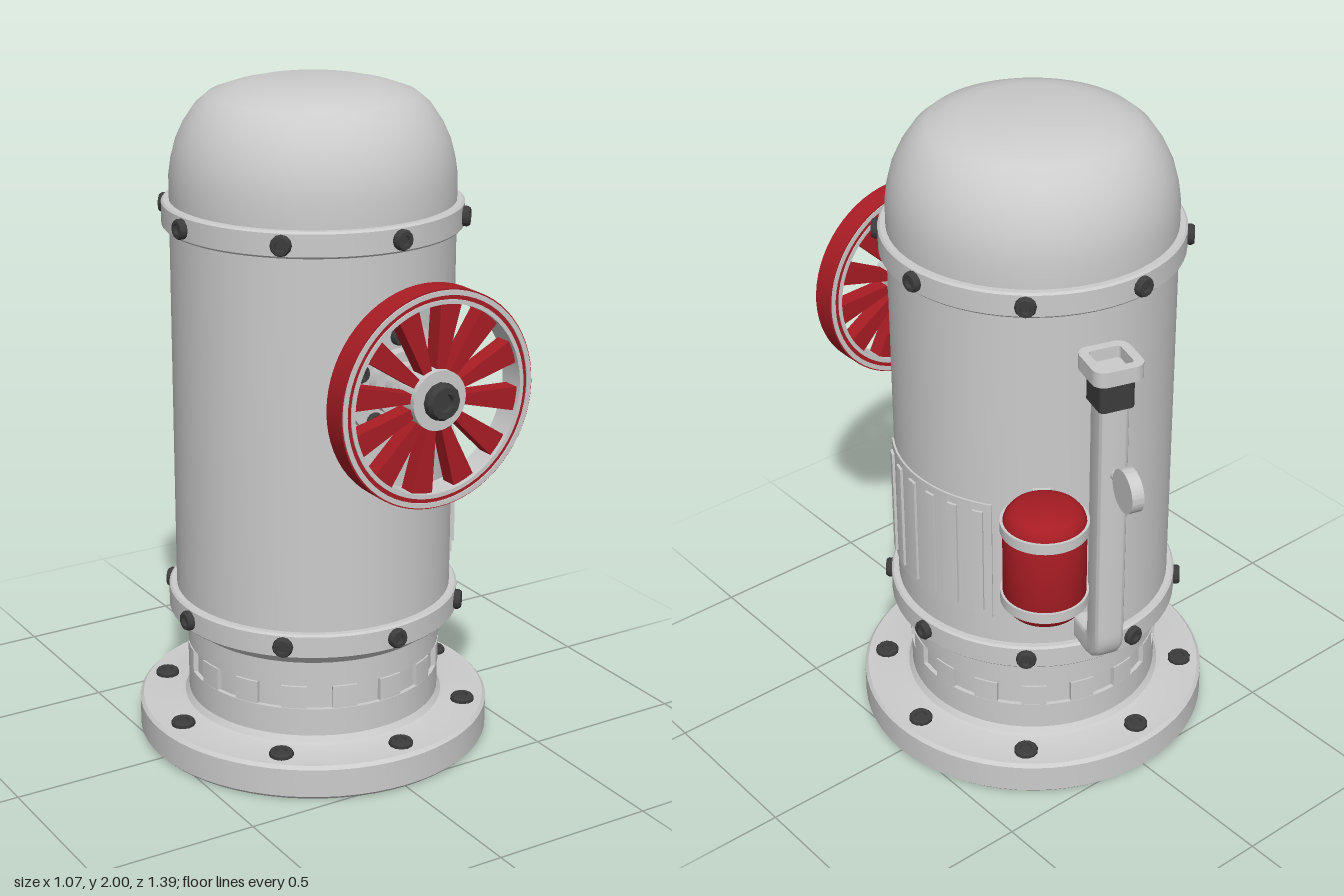
import * as THREE from 'three';
import { toCreasedNormals } from 'three/addons/utils/BufferGeometryUtils.js';

const grey = new THREE.MeshStandardMaterial({ color: 0xcccccc, side: THREE.DoubleSide });
const red = new THREE.MeshStandardMaterial({ color: 0xa81c24, side: THREE.DoubleSide });
const dark = new THREE.MeshStandardMaterial({ color: 0x3c3c3c });

function add(parent, name, geometry, material = grey) {
  const mesh = new THREE.Mesh(geometry, material);
  mesh.name = name;
  parent.add(mesh);
  return mesh;
}

function group(parent, name) {
  const g = new THREE.Group();
  g.name = name;
  parent.add(g);
  return g;
}

// Turned part from [radius, height] pairs, with hard edges kept sharp
function turned(points, segments = 64) {
  const profile = points.map(([r, y]) => new THREE.Vector2(r, y));
  return toCreasedNormals(new THREE.LatheGeometry(profile, segments), 0.6);
}

// Solid ring with a rectangular section
const ring = (r0, r1, y0, y1) => turned([[r0, y0], [r1, y0], [r1, y1], [r0, y1], [r0, y0]]);

// Block bent around the y axis, centred on +x
function arcBlock(r0, r1, angle, y0, y1) {
  const s = new THREE.Shape();
  s.absarc(0, 0, r1, -angle / 2, angle / 2, false);
  s.absarc(0, 0, r0, angle / 2, -angle / 2, true);
  s.closePath();
  const g = new THREE.ExtrudeGeometry(s, { depth: y1 - y0, bevelEnabled: false, curveSegments: 12 });
  return g.rotateX(-Math.PI / 2).translate(0, y0, 0);
}

function roundedSquare(size, r, Type = THREE.Shape) {
  const h = size / 2, k = h - r, s = new Type();
  s.absarc(k, k, r, 0, Math.PI / 2);
  s.absarc(-k, k, r, Math.PI / 2, Math.PI);
  s.absarc(-k, -k, r, Math.PI, Math.PI * 1.5);
  s.absarc(k, -k, r, Math.PI * 1.5, Math.PI * 2);
  s.closePath();
  return s;
}

// Bolt head with a washer-like foot and a hexagonal socket rim, pointing up y
const boltHead = (r, h) => turned(
  [[r, -0.01], [r, h * 0.6], [r * 0.85, h], [r * 0.5, h], [r * 0.45, h * 0.5], [0, h * 0.5]], 12);

const TWIST = 0.044;

function addBase(model) {
  add(model, 'baseFlange', turned([[0.385, 0], [0.525, 0], [0.535, 0.01], [0.535, 0.096],
    [0.525, 0.106], [0.41, 0.106], [0.395, 0.112], [0.383, 0.13]]));
  add(model, 'neck', turned([[0.383, 0.1], [0.383, 0.215], [0.37, 0.215], [0.37, 0.29],
    [0.383, 0.29], [0.383, 0.365], [0.42, 0.405]]));
  const teeth = group(model, 'neckTeeth');
  for (let i = 0; i < 16; i++) {
    add(teeth, 'tooth', arcBlock(0.36, 0.385, Math.PI / 16, 0.218, 0.287)).rotation.y = (i + 0.25) * Math.PI / 8;
  }
  const bolts = group(model, 'baseBolts');
  for (let i = 0; i < 8; i++) {
    const a = i * Math.PI / 4 - TWIST;
    add(bolts, 'bolt', boltHead(0.036, 0.016), dark).position.set(0.467 * Math.cos(a), 0.106, 0.467 * Math.sin(a));
  }
}

function addBody(model) {
  add(model, 'body', turned([[0.415, 0.4], [0.415, 1.66]]));
  add(model, 'dome', turned([[0.415, 1.66], [0.415, 1.73], [0.408, 1.78], [0.395, 1.83], [0.372, 1.88],
    [0.338, 1.93], [0.3, 1.962], [0.24, 1.983], [0.175, 1.998], [0, 2]]));
  for (const y of [0.438, 1.624]) {
    const band = group(model, 'boltedBand');
    add(band, 'band', turned([[0.41, y - 0.038], [0.432, y - 0.038], [0.438, y - 0.032],
      [0.438, y + 0.032], [0.432, y + 0.038], [0.41, y + 0.038]]));
    for (let i = 0; i < 8; i++) {
      const holder = group(band, 'bandBolt');
      holder.rotation.y = i * Math.PI / 4 + TWIST;
      const bolt = add(holder, 'bolt', boltHead(0.03, 0.02), dark);
      bolt.rotation.z = -Math.PI / 2;
      bolt.position.set(0.437, y, 0);
    }
  }
}

// Curved louvre panel on the left side
function addVent(model) {
  const vent = group(model, 'ventPanel');
  add(vent, 'plate', arcBlock(0.405, 0.421, 1.18, 0.565, 0.96));
  for (let i = 0; i < 6; i++) {
    add(vent, 'slat', arcBlock(0.41, 0.429, 0.075, 0.59, 0.935)).rotation.y = (i - 2.5) * 0.197;
  }
}

// Spoked handwheel, built along y and turned to face the front
function addWheel(model) {
  const wheel = group(model, 'handwheel');
  wheel.position.y = 1.228;
  wheel.rotation.x = Math.PI / 2;
  add(wheel, 'mountBoss', ring(0, 0.12, 0.37, 0.43));
  add(wheel, 'mountPlate', ring(0, 0.165, 0.428, 0.455));
  add(wheel, 'mountCollar', turned([[0.095, 0.45], [0.095, 0.49], [0.065, 0.49], [0.065, 0.525], [0.046, 0.525]], 40));
  add(wheel, 'shaft', new THREE.CylinderGeometry(0.046, 0.046, 0.14, 32)).position.y = 0.58;
  for (let i = 0; i < 5; i++) {
    const a = -Math.PI / 2 + i * Math.PI * 0.4;
    add(wheel, 'mountBolt', boltHead(0.026, 0.016), dark).position.set(0.13 * Math.cos(a), 0.455, 0.13 * Math.sin(a));
  }
  add(wheel, 'rim', ring(0.278, 0.31, 0.582, 0.656), red);
  add(wheel, 'rimLip', ring(0.292, 0.306, 0.579, 0.66));
  add(wheel, 'innerRim', ring(0.268, 0.28, 0.579, 0.66));
  add(wheel, 'hub', ring(0, 0.085, 0.585, 0.662));
  add(wheel, 'hubNut', boltHead(0.053, 0.03), dark).position.y = 0.662;

  // Wedge-shaped spokes
  const s = new THREE.Shape([[0.075, -0.013], [0.275, -0.035], [0.275, 0.035], [0.075, 0.013]]
    .map(([x, y]) => new THREE.Vector2(x, y)));
  const wedge = new THREE.ExtrudeGeometry(s, { depth: 0.05, bevelEnabled: false });
  wedge.rotateX(-Math.PI / 2).translate(0, 0.596, 0);
  for (let i = 0; i < 12; i++) add(wheel, 'spoke', wedge, red).rotation.y = 1.41 + i * Math.PI / 6;
}

function addTank(model) {
  const tank = group(model, 'sideTank');
  tank.position.set(0.34, 0, -0.457);
  const half = [[0.118, 0.13], [0.112, 0.148], [0.1, 0.163], [0.08, 0.173], [0, 0.176]];
  const profile = [...half.map(([r, y]) => [r, 0.895 - y]).reverse(), ...half.map(([r, y]) => [r, 0.895 + y])];
  add(tank, 'tankShell', turned(profile, 40), red);
  for (const y of [0.778, 1.012]) {
    add(tank, 'tankStrap', ring(0.11, 0.125, y - 0.016, y + 0.016));
    // Strap arm reaching back to the body
    const arm = add(tank, 'strapArm', new THREE.BoxGeometry(0.05, 0.03, 0.08));
    arm.position.set(-0.08, y, 0.107);
    arm.rotation.y = -0.64;
  }
}

// Filler pipe at the back; local +z points away from the body
function addPipe(model) {
  const pipe = group(model, 'fillerPipe');
  pipe.rotation.y = Math.PI - 0.295;
  const r = 0.533, v = (y, z) => new THREE.Vector3(0, y, z);
  const path = new THREE.CurvePath();
  path.add(new THREE.LineCurve3(v(0.525, 0.39), v(0.525, r - 0.06)));
  path.add(new THREE.QuadraticBezierCurve3(v(0.525, r - 0.06), v(0.525, r), v(0.585, r)));
  path.add(new THREE.LineCurve3(v(0.585, r), v(1.4, r)));
  const tube = new THREE.ExtrudeGeometry(roundedSquare(0.088, 0.02),
    { steps: 60, extrudePath: path, curveSegments: 4 });
  add(pipe, 'pipe', toCreasedNormals(tube, 0.6));

  const prism = (shape, depth, y) => new THREE.ExtrudeGeometry(shape, { depth, bevelEnabled: false, curveSegments: 5 })
    .rotateX(-Math.PI / 2).translate(0, y, r);
  add(pipe, 'collar', prism(roundedSquare(0.105, 0.015), 0.1, 1.36), dark);
  const cup = roundedSquare(0.15, 0.035);
  cup.holes.push(roundedSquare(0.095, 0.01, THREE.Path));
  add(pipe, 'cupRim', prism(cup, 0.046, 1.454));
  add(pipe, 'cupFloor', prism(roundedSquare(0.1, 0.01), 0.008, 1.456));

  // Round gauge on a short stem
  const stem = add(pipe, 'gaugeStem', new THREE.CylinderGeometry(0.016, 0.016, 0.06, 16));
  stem.rotation.x = Math.PI / 2;
  stem.position.set(0, 1.15, 0.592);
  const gauge = add(pipe, 'gauge', ring(0, 0.063, -0.018, 0.018));
  gauge.rotation.z = Math.PI / 2;
  gauge.position.set(0, 1.15, 0.66);
}

export function createModel() {
  const model = new THREE.Group();
  model.name = 'ventedCylinderUnit';
  for (const build of [addBase, addBody, addVent, addWheel, addTank, addPipe]) build(model);
  return model;
}
